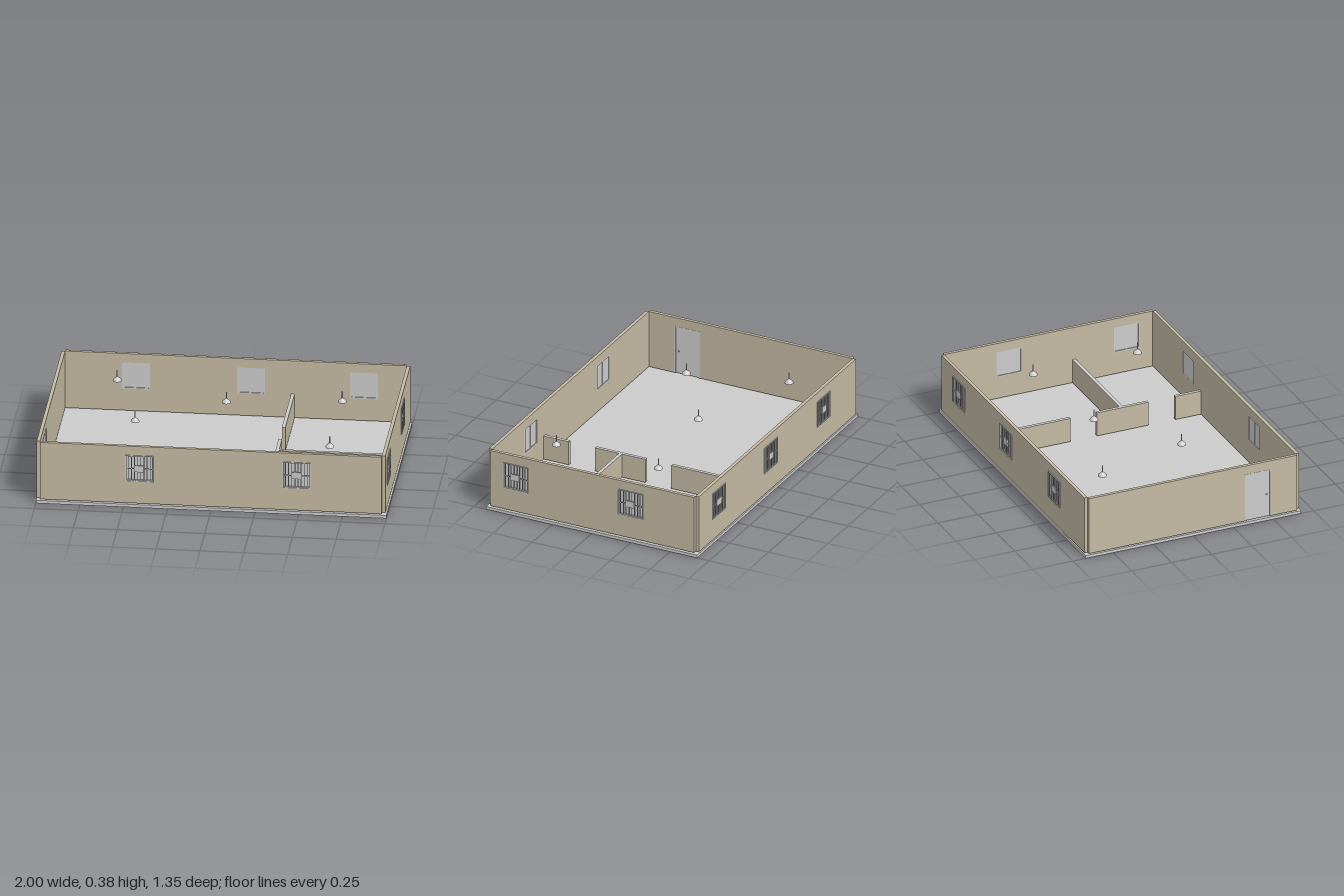
import * as THREE from 'three';

const tan = new THREE.MeshStandardMaterial({ color: 0xc3b9a2 });
const grey = new THREE.MeshStandardMaterial({ color: 0xcccccc });

const FLOOR = 0.018, BASE = 0.025, TOP = 0.375, THICK = 0.02;
const WIN = { w: 0.16, y0: 0.16, y1: 0.32 };
const DOOR = { w: 0.165, y1: 0.32 };

function add(parent, name, geometry, material, x = 0, y = 0, z = 0) {
  const mesh = new THREE.Mesh(geometry, material);
  mesh.name = name;
  mesh.position.set(x, y, z);
  parent.add(mesh);
  return mesh;
}

function box(parent, name, w, h, d, x, y, z, material = grey) {
  return add(parent, name, new THREE.BoxGeometry(w, h, d), material, x, y, z);
}

// Four bars around a rectangle centred on the group's origin
function frame(parent, name, w, h, bar, depth, z) {
  for (const s of [-1, 1]) {
    box(parent, name, w, bar, depth, 0, s * (h - bar) / 2, z);
    box(parent, name, bar, h - 2 * bar, depth, s * (w - bar) / 2, 0, z);
  }
}

// Two-sash window with a security grille on the outside (+z)
function makeWindow() {
  const g = new THREE.Group();
  g.name = 'window';
  const w = WIN.w, h = WIN.y1 - WIN.y0;
  frame(g, 'windowFrame', w, h, 0.007, THICK, THICK / 2);
  box(g, 'windowPane', w - 0.014, h - 0.014, 0.003, 0, 0, 0.007);
  box(g, 'centreMullion', 0.006, h - 0.014, 0.008, 0, 0, 0.007);

  const zg = 0.0235;
  frame(g, 'grilleFrame', w, h, 0.004, 0.005, zg);
  for (let i = 1; i < 9; i++) {
    box(g, 'grilleBar', 0.004, h - 0.008, 0.004, -w / 2 + i * w / 9, 0, zg);
  }
  box(g, 'grilleCrossbar', w - 0.008, 0.004, 0.004, 0, 0, zg);
  box(g, 'grillePlate', 0.052, 0.04, 0.006, 0, 0, zg + 0.001);
  return g;
}

// Door leaf in a thin frame, with a knob on both faces
function makeDoor() {
  const g = new THREE.Group();
  g.name = 'door';
  const w = DOOR.w, h = DOOR.y1 - BASE;
  for (const s of [-1, 1]) {
    box(g, 'doorJamb', 0.008, h, THICK + 0.002, s * (w / 2 - 0.004), h / 2, THICK / 2);
  }
  box(g, 'doorHead', w - 0.016, 0.008, THICK + 0.002, 0, h - 0.004, THICK / 2);
  box(g, 'doorLeaf', w - 0.016, h - 0.008, 0.01, 0, (h - 0.008) / 2, THICK / 2);
  for (const z of [0.002, 0.018]) {
    add(g, 'doorKnob', new THREE.SphereGeometry(0.005, 12, 8), grey, 0.055, 0.14, z);
  }
  return g;
}

// Wall along local x with its outer face at z = THICK
function makeWall(name, x0, x1, windows, doorX) {
  const g = new THREE.Group();
  g.name = name;
  const shape = new THREE.Shape();
  shape.moveTo(x0, BASE);
  if (doorX !== undefined) {
    const a = doorX - DOOR.w / 2, b = doorX + DOOR.w / 2;
    shape.lineTo(a, BASE).lineTo(a, DOOR.y1).lineTo(b, DOOR.y1).lineTo(b, BASE);
    const door = makeDoor();
    door.position.set(doorX, BASE, 0);
    g.add(door);
  }
  shape.lineTo(x1, BASE).lineTo(x1, TOP).lineTo(x0, TOP).closePath();
  for (const x of windows) {
    const a = x - WIN.w / 2, b = x + WIN.w / 2;
    const hole = new THREE.Path();
    hole.moveTo(a, WIN.y0).lineTo(a, WIN.y1).lineTo(b, WIN.y1).lineTo(b, WIN.y0).closePath();
    shape.holes.push(hole);
    const win = makeWindow();
    win.position.set(x, (WIN.y0 + WIN.y1) / 2, 0);
    g.add(win);
  }
  add(g, name + 'Panel', new THREE.ExtrudeGeometry(shape, { depth: THICK, bevelEnabled: false }), tan);
  return g;
}

// Hanging lamp: rod, domed shade and bulb
function makeLamp(x, z) {
  const g = new THREE.Group();
  g.name = 'ceilingLamp';
  g.position.set(x, 0, z);
  add(g, 'lampRod', new THREE.CylinderGeometry(0.003, 0.003, 0.045, 10), grey, 0, TOP - 0.0225, 0);
  const profile = [[0.025, 0.31], [0.023, 0.318], [0.017, 0.325], [0.009, 0.33], [0.006, 0.336], [0, 0.336]]
    .map(([r, y]) => new THREE.Vector2(r, y));
  const shadeMaterial = grey.clone();
  shadeMaterial.side = THREE.DoubleSide;
  add(g, 'lampShade', new THREE.LatheGeometry(profile, 24), shadeMaterial);
  add(g, 'lampBulb', new THREE.SphereGeometry(0.01, 14, 10), grey, 0, 0.315, 0);
  return g;
}

export function createModel() {
  const model = new THREE.Group();
  model.name = 'house';

  // Floor slab
  box(model, 'floorSlab', 2, FLOOR, 1.344, 0, FLOOR / 2, 0);

  // Outer walls, leaving the corners open
  const front = makeWall('frontWall', -0.978, 0.972, [-0.41, 0.487]);
  front.position.z = 0.648;
  const back = makeWall('backWall', -0.972, 0.978, [0.573, -0.083, -0.728]);
  back.rotation.y = Math.PI;
  back.position.z = -0.65;
  const left = makeWall('leftWall', -0.648, 0.65, [-0.488, 0.245]);
  left.rotation.y = Math.PI / 2;
  left.position.x = 0.972;
  const right = makeWall('rightWall', -0.65, 0.648, [], 0.405);
  right.rotation.y = -Math.PI / 2;
  right.position.x = -0.978;
  model.add(front, back, left, right);

  // Low inner partitions with grey tops
  const capped = [tan, tan, grey, tan, tan, tan];
  const partitionTop = 0.172, h = partitionTop - BASE, y = (partitionTop + BASE) / 2;
  for (const [z0, z1] of [[-0.65, -0.165], [0, 0.322], [0.488, 0.648]]) {
    box(model, 'partition', THICK, h, z1 - z0, 0.322, y, (z0 + z1) / 2, capped);
  }
  box(model, 'roomDivider', 0.64, h, THICK, 0.652, y, 0.158, capped);

  // Lamps
  for (const [x, z] of [[-0.655, -0.41], [-0.005, -0.165], [0.648, -0.245], [-0.49, 0.16], [0.648, 0.405]]) {
    model.add(makeLamp(x, z));
  }
  return model;
}
